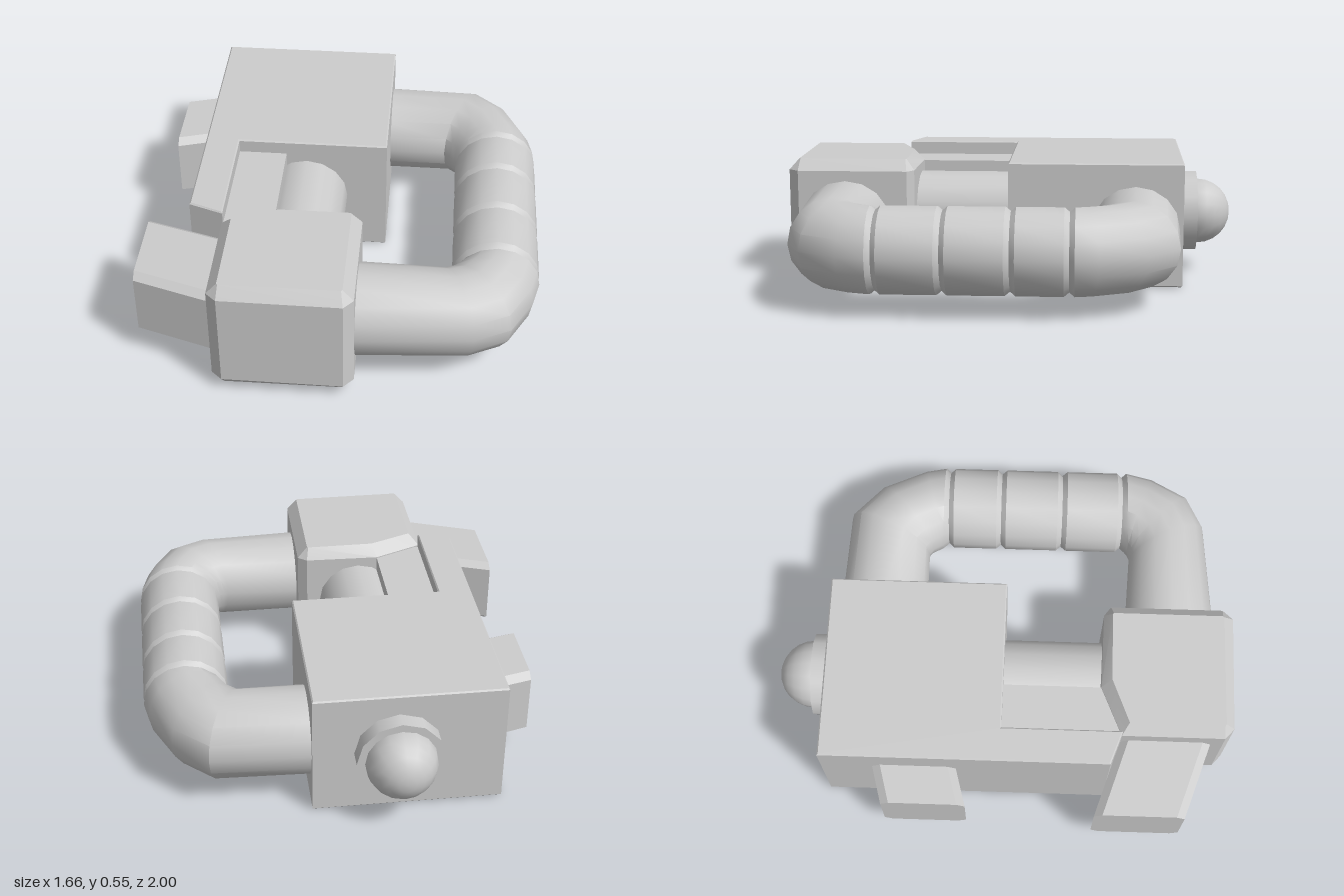
import * as THREE from 'three';
import { toCreasedNormals } from 'three/addons/utils/BufferGeometryUtils.js';

// Skin matching rings of points into a closed solid, facing outward
function loft(rings, crease = 0.5) {
  const n = rings[0].length;
  const pos = [];
  const tri = (a, b, c) => pos.push(...a, ...b, ...c);
  const middle = (ring) => [0, 1, 2].map((k) => ring.reduce((s, p) => s + p[k], 0) / n);
  const first = rings[0], last = rings[rings.length - 1];
  const c0 = middle(first), c1 = middle(last);
  for (let i = 0; i < n; i++) {
    const j = (i + 1) % n;
    for (let r = 0; r < rings.length - 1; r++) {
      const a = rings[r], b = rings[r + 1];
      tri(a[i], a[j], b[j]);
      tri(a[i], b[j], b[i]);
    }
    tri(c0, first[j], first[i]);
    tri(c1, last[i], last[j]);
  }
  // Reverse the corner order if the signed volume is negative
  let volume = 0;
  const a = new THREE.Vector3(), b = new THREE.Vector3(), c = new THREE.Vector3();
  for (let i = 0; i < pos.length; i += 9) {
    a.fromArray(pos, i); b.fromArray(pos, i + 3); c.fromArray(pos, i + 6);
    volume += a.dot(b.cross(c));
  }
  if (volume < 0) {
    for (let i = 0; i < pos.length; i += 9) {
      for (let k = 0; k < 3; k++) {
        [pos[i + 3 + k], pos[i + 6 + k]] = [pos[i + 6 + k], pos[i + 3 + k]];
      }
    }
  }
  const g = new THREE.BufferGeometry();
  g.setAttribute('position', new THREE.Float32BufferAttribute(pos, 3));
  return toCreasedNormals(g, crease);
}

// Round pipe section spanning an inner and an outer point in plan
function pipeRing([xi, zi, xo, zo], ry = 0.185, sides = 16) {
  return Array.from({ length: sides }, (_, i) => {
    const t = (i / sides) * Math.PI * 2;
    const k = (1 + Math.cos(t)) / 2;
    return [xi + (xo - xi) * k, 0.265 + ry * Math.sin(t), zi + (zo - zi) * k];
  });
}

// Chamfered rectangle in the yz plane
function lugRing(x, z0, z1, y0, y1) {
  const cz = 0.035, cy = 0.025;
  return [
    [x, y0, z0 + cz], [x, y0, z1 - cz], [x, y0 + cy, z1], [x, y1 - cy, z1],
    [x, y1, z1 - cz], [x, y1, z0 + cz], [x, y1 - cy, z0], [x, y0 + cy, z0],
  ];
}

export function createModel() {
  const group = new THREE.Group();
  const grey = new THREE.MeshStandardMaterial({ color: 0xcccccc });
  grey.name = 'plain grey';
  const add = (name, geometry, x = 0, y = 0, z = 0) => {
    const mesh = new THREE.Mesh(geometry, grey);
    mesh.name = name;
    mesh.position.set(x, y, z);
    group.add(mesh);
    return mesh;
  };

  // Main block with its long side arm, an L in plan
  const plan = [[-0.64, -0.77], [0.15, -0.765], [0.15, -0.005], [-0.505, -0.01], [-0.505, 0.505], [-0.64, 0.455]];
  const shape = new THREE.Shape(plan.map(([x, z]) => new THREE.Vector2(x, -z)));
  const body = new THREE.ExtrudeGeometry(shape, {
    depth: 0.54, bevelEnabled: true, bevelSegments: 1, bevelThickness: 0.006, bevelSize: 0.006,
  });
  body.rotateX(-Math.PI / 2);
  add('mainBlock', body, 0, 0.006, 0);

  // Recessed slab beside the arm and the round bar to the front block
  add('recessedSlab', new THREE.BoxGeometry(0.22, 0.42, 0.52), -0.4, 0.28, 0.24);
  const bar = new THREE.CylinderGeometry(0.18, 0.18, 0.5, 16);
  bar.rotateX(Math.PI / 2);
  add('connectingBar', bar, -0.2, 0.275, 0.23);

  // Front block, chamfered all round with one slanted back corner
  const outer = [[-0.505, 0.51], [-0.29, 0.42], [0.04, 0.43], [0.08, 0.46], [0.08, 0.95], [0.04, 0.995], [-0.46, 0.99], [-0.505, 0.95]];
  const inset = [[-0.46, 0.54], [-0.27, 0.465], [0.03, 0.465], [0.035, 0.47], [0.035, 0.945], [0.03, 0.95], [-0.455, 0.95], [-0.46, 0.945]];
  const level = (pts, y) => pts.map(([x, z]) => [x, y, z]);
  add('frontBlock', loft([level(inset, 0.015), level(outer, 0.065), level(outer, 0.495), level(inset, 0.545)], 0.3));

  // Curved pipe: upper elbow, grooved straight run, lower elbow
  const rings = [
    [0.1, -0.365, 0.1, -0.757],
    [0.41, -0.365, 0.575, -0.735],
    [0.435, -0.345, 0.72, -0.6],
    [0.455, -0.31, 0.81, -0.4],
  ].map((r) => pipeRing(r));
  for (const z of [-0.28, -0.04, 0.24, 0.515]) {
    rings.push(pipeRing([0.463, z - 0.022, 0.83, z - 0.022]));
    rings.push(pipeRing([0.482, z, 0.811, z], 0.166));
    rings.push(pipeRing([0.463, z + 0.022, 0.83, z + 0.022]));
  }
  rings.push(...[
    [0.45, 0.545, 0.8, 0.66],
    [0.43, 0.55, 0.71, 0.825],
    [0.41, 0.555, 0.56, 0.9],
    [0.03, 0.535, 0.03, 0.943],
  ].map((r) => pipeRing(r)));
  add('curvedPipe', loft(rings, 0.6));

  // Two slanted lugs on the side
  add('rearLug', loft([lugRing(-0.6, -0.567, -0.207, 0.12, 0.425), lugRing(-0.81, -0.51, -0.15, 0.12, 0.42)], 0.3));
  add('frontLug', loft([lugRing(-0.45, 0.526, 0.916, 0.12, 0.43), lugRing(-0.835, 0.4, 0.785, 0.11, 0.42)], 0.3));

  // Collar and domed knob at the back
  const collar = new THREE.CylinderGeometry(0.184, 0.184, 0.1, 12);
  collar.rotateX(Math.PI / 2);
  add('knobCollar', collar, -0.2, 0.28, -0.795);
  const knob = new THREE.SphereGeometry(0.15, 16, 12);
  knob.rotateX(Math.PI / 2);
  add('knob', knob, -0.2, 0.28, -0.85);

  return group;
}
